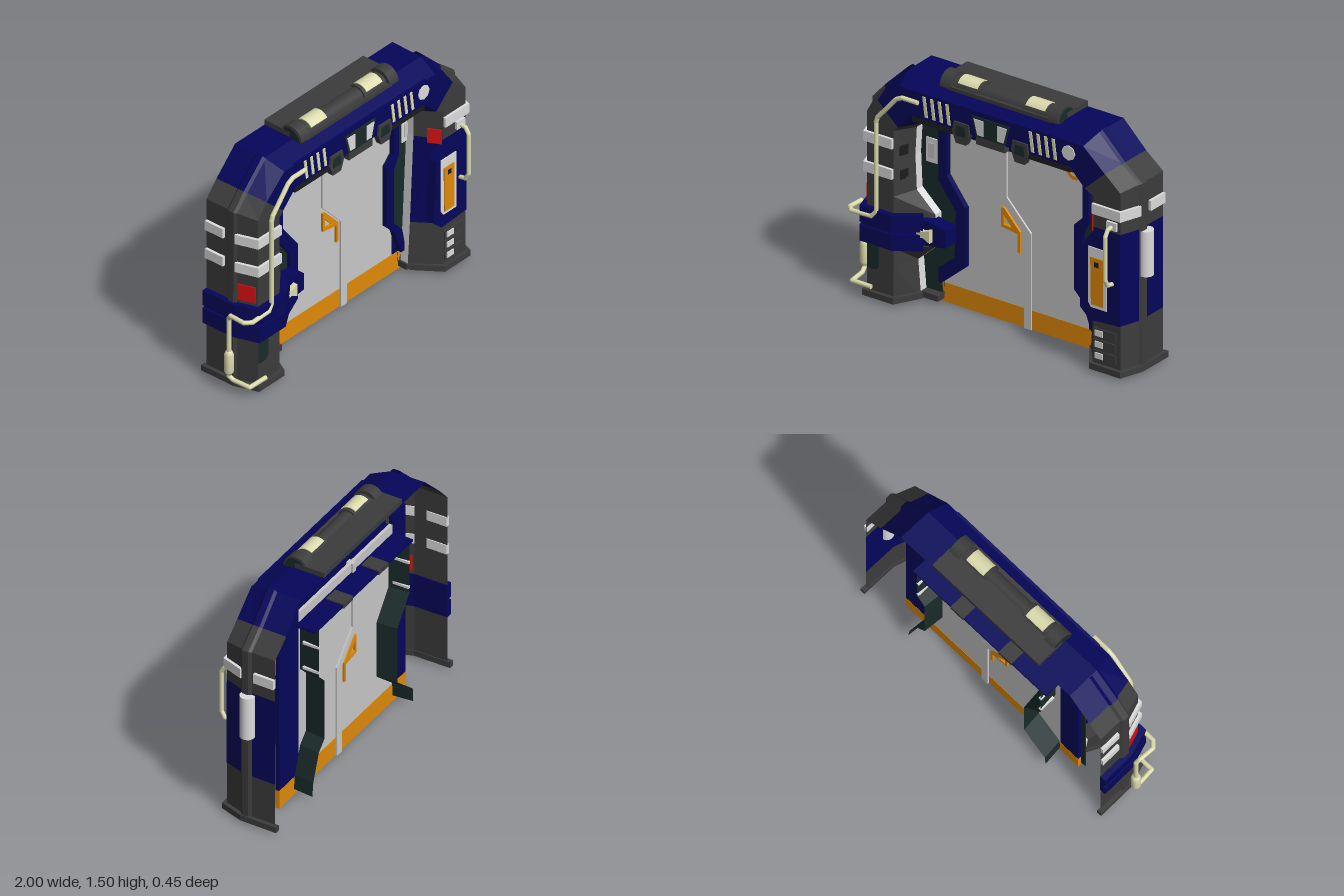
import * as THREE from 'three';

const paint = (name, color) => new THREE.MeshStandardMaterial({ name, color, side: THREE.DoubleSide });

export function createModel() {
  const root = new THREE.Group();
  root.name = 'slidingDoorGate';
  const blue = paint('navy', 0x05055b), dark = paint('charcoal', 0x3c3c3c), green = paint('darkGreen', 0x1a2a2a);
  const grey = paint('doorGrey', 0xc8c8c8), white = paint('offWhite', 0xdcdcdc), orange = paint('orange', 0xe08a08);
  const red = paint('red', 0xd81010), tan = paint('paleOlive', 0xdcdcae), black = paint('nearBlack', 0x1c1c20);

  // ---- helpers ----
  const add = (name, geo, mat) => {
    const m = new THREE.Mesh(geo, mat);
    m.name = name;
    root.add(m);
    return m;
  };
  const box = (name, mat, x0, x1, y0, y1, z0, z1) =>
    add(name, new THREE.BoxGeometry(x1 - x0, y1 - y0, z1 - z0)
      .translate((x0 + x1) / 2, (y0 + y1) / 2, (z0 + z1) / 2), mat);
  // small upright plate turned about y
  const turnedPlate = (name, mat, x, z, w, y0, y1, angle) => {
    const m = box(name, mat, -w / 2, w / 2, y0, y1, -0.004, 0.004);
    m.position.set(x, 0, z);
    m.rotation.y = angle;
  };
  const shapeOf = pts => new THREE.Shape(pts.map(p => new THREE.Vector2(p[0], p[1])));
  // front-facing outline with thickness
  const plate = (name, mat, pts, z0, z1, hole) => {
    const s = shapeOf(pts);
    if (hole) s.holes.push(new THREE.Path(hole.map(p => new THREE.Vector2(p[0], p[1]))));
    return add(name, new THREE.ExtrudeGeometry(s, { depth: z1 - z0, bevelEnabled: false }).translate(0, 0, z0), mat);
  };
  // open skin from rows of 3D points
  const skin = (name, mat, rows) => {
    const pos = [], idx = [], n = rows[0].length;
    rows.forEach(r => r.forEach(p => pos.push(...p)));
    for (let i = 0; i < rows.length - 1; i++) for (let j = 0; j < n - 1; j++) {
      const a = i * n + j, b = a + n;
      idx.push(a, a + 1, b, a + 1, b + 1, b);
    }
    const g = new THREE.BufferGeometry();
    g.setAttribute('position', new THREE.Float32BufferAttribute(pos, 3));
    g.setIndex(idx);
    const flat = g.toNonIndexed();
    flat.computeVertexNormals();
    return add(name, flat, mat);
  };
  // wall straddling a plan line of [x, z], t outside it and a little inside, mirrored by s
  const wall = (name, mat, s, line, t, y0, y1) => {
    const unit = (a, b) => {
      const dx = b[0] - a[0], dz = b[1] - a[1], l = Math.hypot(dx, dz);
      return [dz / l, -dx / l];
    };
    const offset = amount => line.map((p, i) => {
      const n1 = unit(line[Math.max(i - 1, 0)], line[Math.max(i, 1)]);
      const k = Math.min(i, line.length - 2), n2 = unit(line[k], line[k + 1]);
      const d = amount / (1 + n1[0] * n2[0] + n1[1] * n2[1]);
      return [p[0] + (n1[0] + n2[0]) * d, p[1] + (n1[1] + n2[1]) * d];
    });
    const pts = [...offset(t), ...offset(-0.006).reverse()].map(p => [s * p[0], -p[1]]);
    const g = new THREE.ExtrudeGeometry(shapeOf(pts), { depth: y1 - y0, bevelEnabled: false });
    return add(name, g.rotateX(-Math.PI / 2).translate(0, y0, 0), mat);
  };
  // straight tubes with ball joints
  const pipe = (name, mat, r, points, sides = 10) => {
    const v = points.map(p => new THREE.Vector3(...p));
    for (let i = 0; i < v.length - 1; i++) {
      const dir = v[i + 1].clone().sub(v[i]), len = dir.length();
      const m = add(name, new THREE.CylinderGeometry(r, r, len, sides), mat);
      m.quaternion.setFromUnitVectors(new THREE.Vector3(0, 1, 0), dir.normalize());
      m.position.copy(v[i]).add(v[i + 1]).multiplyScalar(0.5);
      if (i) add(name + 'Joint', new THREE.SphereGeometry(r, sides, 6), mat).position.copy(v[i]);
    }
  };

  // ---- arch shell, open at the back: outer edge O, front edge F, inner edges I and J ----
  const outX = s => (s < 0 ? 0.91 : 0.943), inX = s => (s < 0 ? 0.68 : 0.71);
  const station = (s, O, F, I, J) => [
    [s * O[0], O[1], -0.19], [s * (O[0] - 0.003), O[1], 0.025], [s * F[0], F[1], 0.152],
    [s * I[0], I[1], 0.152], [s * J[0], J[1], 0]];
  const level = (s, y, j) => station(s, [outX(s), y], [outX(s) - 0.045, y], [inX(s), y], [j, y]);
  const shoulder = s => station(s, [outX(s), 1.18], [outX(s) - 0.045, 1.16], [inX(s), 1.09], [0.63, 1.07]);
  const neck = s => station(s, [0.825, 1.275], [0.79, 1.25], [0.65, 1.12], [0.6, 1.1]);
  const crown = s => station(s, [0.668, 1.43], [0.64, 1.38], [0.55, 1.22], [0.5, 1.16]);

  const rightRows = [
    ...[[0.02, 0.6], [0.25, 0.62], [0.36, 0.5], [0.56, 0.5], [0.68, 0.63], [0.9, 0.64]].map(a => level(-1, ...a)), shoulder(-1)];
  const leftRows = [level(1, 0.02, 0.58), level(1, 0.33, 0.6), level(1, 0.9, 0.63), shoulder(1)];
  skin('rightPillar', dark, [...rightRows, neck(-1)]);
  skin('leftPillarFoot', dark, leftRows.slice(0, 2));
  skin('leftPillarPanel', blue, leftRows.slice(1, 3));
  skin('leftPillarTop', dark, [...leftRows.slice(2), neck(1)]);
  skin('topBeam', blue, [neck(-1), crown(-1), crown(1), neck(1)]);
  // pale returns from the pillars back to the jambs
  for (const rows of [rightRows, leftRows])
    skin('pillarReturn', white, rows.map(r => [r[4], [r[4][0], r[4][1], -0.056]]));

  const planOf = s => [[outX(s), -0.19], [outX(s) - 0.003, 0.025], [outX(s) - 0.045, 0.152], [inX(s), 0.152], [0.6, 0]];
  for (const s of [-1, 1]) {
    const plan = planOf(s), x = outX(s);
    wall('pillarBase', dark, s, [[x, -0.21], ...plan.slice(1)], 0.024, 0.02, 0.057);
    // raised rib running up the outside
    const rib = [[x, 0.02, 1, 0], [x, 1.18, 0.9, 0.4], [0.825, 1.275, 0.7, 0.7], [0.668, 1.43, 0.4, 0.9]]
      .map(([px, py, nx, ny]) => [[-0.002, 0.036], [0.014, 0.02], [0.014, -0.02], [-0.002, -0.036]]
        .map(([d, z]) => [s * (px + nx * d), py + ny * d, z]));
    skin('pillarRib', dark, rib.slice(0, 3));
    skin('beamRib', blue, rib.slice(2));
    // white bands, split around the rib
    for (const y of s > 0 ? [0.988] : [0.98, 0.79]) {
      wall('frontBand', white, s, plan.slice(1, 4), 0.018, y, y + 0.062);
      wall('rearBand', white, s, [[x, -0.188], [x - 0.001, -0.055]], 0.018, y, y + 0.062);
    }
  }

  // ---- door ----
  box('doorPanels', grey, -0.49, 0.56, 0.12, 1.21, -0.085, -0.065);
  box('doorKickPlate', orange, -0.63, 0.73, 0, 0.12, -0.087, -0.063);
  box('rightDoorPocket', blue, -0.63, -0.488, 0.12, 1.27, -0.086, -0.064);
  box('leftDoorPocket', blue, 0.52, 0.73, 0.12, 1.27, -0.086, -0.064);
  plate('doorSeam', grey, [[-0.08, 1.21], [-0.045, 1.21], [-0.045, 0.78], [0.125, 0.6], [0.125, 0],
    [0.075, 0], [0.075, 0.58], [-0.08, 0.75]], -0.097, -0.053);
  const ring = new THREE.Shape().absarc(0.42, 1.075, 0.054, 0, Math.PI * 2);
  ring.holes.push(new THREE.Path().absarc(0.42, 1.075, 0.031, 0, Math.PI * 2));
  add('doorRing', new THREE.ExtrudeGeometry(ring, { depth: 0.028, bevelEnabled: false }).translate(0, 0, -0.089), orange);
  box('doorDot', orange, 0.31, 0.34, 1.065, 1.095, -0.089, -0.061);
  plate('doorHandleMark', orange, [[-0.08, 0.71], [-0.06, 0.71], [0.05, 0.59], [0.05, 0.46], [0.032, 0.46],
    [0.032, 0.575], [-0.08, 0.59]], -0.1, -0.05, [[-0.065, 0.67], [-0.065, 0.608], [-0.005, 0.602]]);

  // ---- inner trim and jambs ----
  const trims = [
    [-1, [[-0.445, 1.15], [-0.445, 0.81], [-0.316, 0.64], [-0.316, 0.27], [-0.48, 0.13]],
      [[-0.5, 0.13], [-0.5, 0.22], [-0.39, 0.31], [-0.38, 0.6], [-0.5, 0.76], [-0.5, 1.15]]],
    [1, [[0.5, 1.15], [0.5, 0.82], [0.44, 0.76], [0.44, 0.36], [0.5, 0.3], [0.56, 0.13]],
      [[0.6, 0.13], [0.57, 0.28], [0.5, 0.36], [0.5, 0.72], [0.54, 0.8], [0.54, 1.15]]]];
  for (const [s, inner, outer] of trims) {
    const foot = s < 0 ? -0.485 : 0.57, x = s < 0 ? -0.6 : 0.585;
    plate('doorTrim', blue, [...inner, ...outer], -0.06, -0.03);
    plate('jambPanel', green, [[s * 0.66, 1.13], ...outer.slice().reverse(), [foot, 0.02], [s * 0.66, 0.02]], -0.062, -0.054);
    box('jambFoot', dark, Math.min(foot, s * 0.6), Math.max(foot, s * 0.6), 0.02, 0.057, -0.062, 0);
    skin('rearJamb', green, [...inner, [foot, 0.04]].map(p => [[p[0], p[1], -0.06], [p[0] + s * 0.015, p[1], -0.215]]));
    box('jambLightFrame', white, x, x + 0.075, 0.85, 1.0, -0.054, -0.046);
    box('jambLight', grey, x + 0.018, x + 0.057, 0.88, 0.97, -0.046, -0.042);
    for (const y of [0.84, 1.01])
      box('jambStripe', white, inner[0][0] + s * 0.011 - 0.009, inner[0][0] + s * 0.011 + 0.009, y, y + 0.016, -0.216, -0.11);
  }
  box('lintel', blue, -0.5, 0.55, 1.135, 1.15, -0.212, 0.01);
  box('lintelFace', blue, -0.52, 0.56, 1.14, 1.2, -0.02, 0.06);
  for (const x of [-0.18, 0.2]) box('lintelBlock', dark, x - 0.05, x + 0.05, 1.128, 1.157, -0.216, -0.1);

  // ---- beam details ----
  for (const s of [-1, 1]) {
    const at = pts => pts.map(p => [p[0] + s * 0.205, p[1]]);
    box('beamSlot', black, s * 0.38 - 0.17, s * 0.38 + 0.17, 1.19, 1.222, 0.1, 0.153);
    plate('beamBracket', dark, at([[-0.05, 1.28], [0.05, 1.28], [0.06, 1.22], [0.035, 1.15], [-0.035, 1.15], [-0.06, 1.22]]), 0.125, 0.163);
    plate('bracketInset', green, at([[-0.03, 1.26], [0.03, 1.26], [0.035, 1.2], [-0.035, 1.2]]), 0.163, 0.167);
    // slanted light slats
    for (let i = 0; i < 4; i++) {
      const x = s < 0 ? -0.46 + i * 0.053 : 0.28 + i * 0.053;
      plate('lightSlat', tan, [[x - 0.017, 1.365], [x + 0.003, 1.365], [x + 0.02, 1.24], [x, 1.24]], 0.15, 0.157);
    }
    // light boxes inside the beam
    const lozenge = (w, h) => [[-w, 0], [0.04 - w, h], [w - 0.04, h], [w, 0], [w - 0.04, -h], [0.04 - w, -h]]
      .map(p => [p[0] + s * 0.39, p[1] + 1.25]);
    plate('lightBoxFrame', dark, lozenge(0.145, 0.045), 0.115, 0.122);
    plate('lightBox', white, lozenge(0.12, 0.032), 0.108, 0.115);
    plate('centreLight', white, [[0.05, 1.335], [0.115, 1.335], [0.09, 1.24], [0.05, 1.24]].map(p => [s * p[0], p[1]]), 0.158, 0.163);
  }
  plate('centrePanel', green, [[-0.13, 1.35], [0.13, 1.35], [0.1, 1.225], [-0.1, 1.225]], 0.14, 0.158);
  box('centreRearLight', white, -0.11, 0.11, 1.2, 1.29, 0.108, 0.115);
  box('centreLip', dark, -0.1, 0.1, 1.18, 1.225, 0.12, 0.16);
  box('beamRail', blue, -0.56, 0.56, 1.37, 1.385, 0.125, 0.157);
  add('roundLamp', new THREE.CylinderGeometry(0.046, 0.046, 0.008, 8).rotateX(Math.PI / 2).translate(0.54, 1.31, 0.155), white);

  // ---- roof lamp bar, half round above the roof ----
  const barrel = (name, mat, r, len, x, start = 0, sweep = Math.PI) =>
    add(name, new THREE.CylinderGeometry(r, r, len, 14, 1, false, start, sweep).rotateZ(Math.PI / 2).translate(x, 1.42, 0), mat);
  barrel('lampBarCore', dark, 0.055, 0.7, 0);
  box('lampBarDeck', dark, -0.42, 0.42, 1.432, 1.465, -0.19, 0);
  box('lampBarRail', dark, -0.36, 0.36, 1.412, 1.435, 0.03, 0.077);
  for (const s of [-1, 1]) {
    barrel('lampBarEnd', dark, 0.08, 0.075, s * 0.375);
    barrel('lampBarCap', green, 0.07, 0.01, s * 0.414);
    barrel('lampHousing', dark, 0.066, 0.18, s * 0.235);
    barrel('roofLamp', tan, 0.071, 0.135, s * 0.235, 0.62, 1.55);
  }

  // ---- left pillar fittings ----
  plate('controlHousing', blue, [[0.62, 0.38], [0.645, 0.78], [0.7, 0.86], [0.9, 0.88], [0.9, 0.33], [0.69, 0.315]], 0.1, 0.157);
  plate('controlFrame', white, [[0.7, 0.4], [0.68, 0.43], [0.68, 0.775], [0.81, 0.775], [0.81, 0.4]], 0.157, 0.163);
  plate('controlPanel', orange, [[0.705, 0.42], [0.7, 0.715], [0.788, 0.715], [0.788, 0.42]], 0.163, 0.168);
  box('controlDisplay', black, 0.73, 0.76, 0.66, 0.69, 0.168, 0.171);
  box('grabMount', white, 0.81, 0.88, 0.92, 0.97, 0.15, 0.168);
  pipe('grabRail', tan, 0.013, [[0.845, 0.94, 0.15], [0.845, 0.935, 0.2], [0.845, 0.9, 0.222], [0.845, 0.63, 0.222],
    [0.845, 0.59, 0.2], [0.845, 0.58, 0.15]]);
  add('sideTank', new THREE.CylinderGeometry(0.045, 0.045, 0.28, 16).translate(0.955, 0.75, -0.015), white);
  for (const y of [0.11, 0.18, 0.25]) {
    box('ventBox', dark, 0.715, 0.87, y - 0.028, y + 0.028, 0.15, 0.16);
    box('ventLight', white, 0.73, 0.785, y - 0.018, y + 0.018, 0.16, 0.166);
  }
  turnedPlate('leftWarningLight', red, 0.685, 0.11, 0.085, 0.87, 0.965, -1.09);

  // ---- right pillar fittings ----
  turnedPlate('rightWarningLight', red, -0.888, 0.09, 0.11, 0.6, 0.705, -1.25);
  const clampPlan = [...planOf(-1).slice(0, 4), [0.54, 0.06]];
  for (const y of [0.36, 0.478]) wall('clampShell', blue, -1, clampPlan, 0.036, y, y + 0.1);
  wall('clampCore', blue, -1, clampPlan, 0.022, 0.39, 0.545);
  plate('clampTip', blue, [[-0.58, 0.55], [-0.38, 0.52], [-0.38, 0.41], [-0.58, 0.38]], -0.03, 0.07);
  plate('clampLatch', tan, [[-0.57, 0.505], [-0.52, 0.485], [-0.47, 0.505], [-0.47, 0.425], [-0.52, 0.45], [-0.57, 0.43]], 0.07, 0.1);
  plate('legPatch', green, [[-0.86, 0.34], [-0.78, 0.34], [-0.78, 0.22], [-0.8, 0.19], [-0.86, 0.19]], 0.148, 0.156);
  for (const y of [0.8, 0.95]) turnedPlate('sideVent', black, -0.66, 0.08, 0.06, y - 0.03, y + 0.03, 1.3);

  // ---- hose and canister ----
  pipe('hose', tan, 0.014, [[-0.49, 1.33, 0.18], [-0.6, 1.33, 0.18], [-0.64, 1.31, 0.18], [-0.77, 1.16, 0.18], [-0.78, 1.13, 0.18],
    [-0.78, 0.57, 0.18], [-0.81, 0.535, 0.185], [-0.95, 0.53, 0.185], [-0.985, 0.53, 0.15], [-0.98, 0.53, 0.05],
    [-0.972, 0.5, 0.03], [-0.972, 0.11, 0.03], [-0.965, 0.09, 0.06], [-0.955, 0.085, 0.17], [-0.82, 0.085, 0.172]]);
  const can = [[0, 0.125], [0.018, 0.125], [0.029, 0.145], [0.029, 0.255], [0.018, 0.28], [0, 0.28]];
  add('canister', new THREE.LatheGeometry(can.map(p => new THREE.Vector2(...p)), 14).translate(-0.971, 0, 0.03), tan);

  return root;
}
